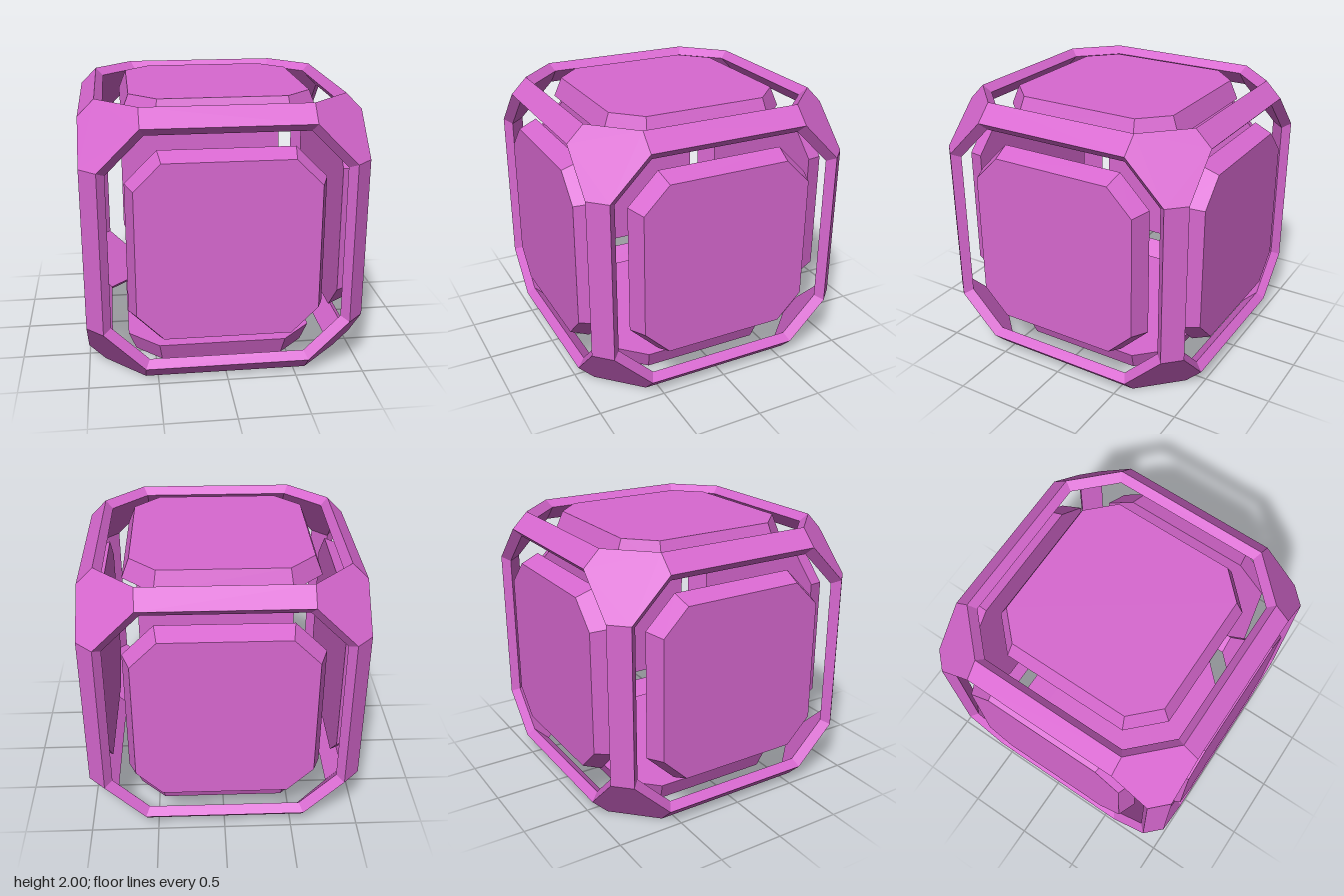
import * as THREE from 'three';
import { ConvexGeometry } from 'three/addons/geometries/ConvexGeometry.js';

// Corner coordinates of the cage: outer shell and inner shell
const OUTER = [0.59, 0.88, 1];
const INNER = [0.56, 0.825, 0.945];
const SIGNS = [-1, 1];

// Places (u, v, w) so that w lies on the given axis
function onAxis(axis, u, v, w) {
  const p = [0, 0, 0];
  p[axis] = w;
  p[(axis + 1) % 3] = u;
  p[(axis + 2) % 3] = v;
  return new THREE.Vector3(...p);
}

export function createModel() {
  const model = new THREE.Group();
  const magenta = new THREE.MeshStandardMaterial({ color: 0xd868d0 });
  magenta.name = 'magenta';

  const cage = new THREE.Group();
  cage.name = 'cage';
  const panels = new THREE.Group();
  panels.name = 'panels';
  model.add(cage, panels);

  function addSolid(parent, name, points) {
    const mesh = new THREE.Mesh(new ConvexGeometry(points), magenta);
    mesh.name = name;
    parent.add(mesh);
  }

  // Eight hexagonal corner plates
  for (const sx of SIGNS) for (const sy of SIGNS) for (const sz of SIGNS) {
    const points = [];
    for (const [a, b, c] of [OUTER, INNER]) {
      for (const [x, y, z] of [[a, b, c], [a, c, b], [b, a, c], [b, c, a], [c, a, b], [c, b, a]]) {
        points.push(new THREE.Vector3(x * sx, y * sy, z * sz));
      }
    }
    addSolid(cage, 'cornerPlate', points);
  }

  for (let axis = 0; axis < 3; axis++) {
    // Four bars running along this axis
    for (const su of SIGNS) for (const sv of SIGNS) {
      const points = [];
      for (const [a, b, c] of [OUTER, INNER]) for (const end of SIGNS) {
        points.push(onAxis(axis, b * su, c * sv, a * end), onAxis(axis, c * su, b * sv, a * end));
      }
      addSolid(cage, 'edgeBar', points);
    }

    // Two bevelled octagonal panels facing along this axis
    for (const side of SIGNS) {
      const points = [];
      for (const [wide, narrow, depth] of [[0.645, 0.455, 1], [0.7, 0.475, 0.86]]) {
        for (const su of SIGNS) for (const sv of SIGNS) {
          points.push(
            onAxis(axis, wide * su, narrow * sv, depth * side),
            onAxis(axis, narrow * su, wide * sv, depth * side),
          );
        }
      }
      addSolid(panels, 'facePanel', points);
    }
  }

  // Stand the body on the ground
  cage.position.y = 1;
  panels.position.y = 1;
  return model;
}
